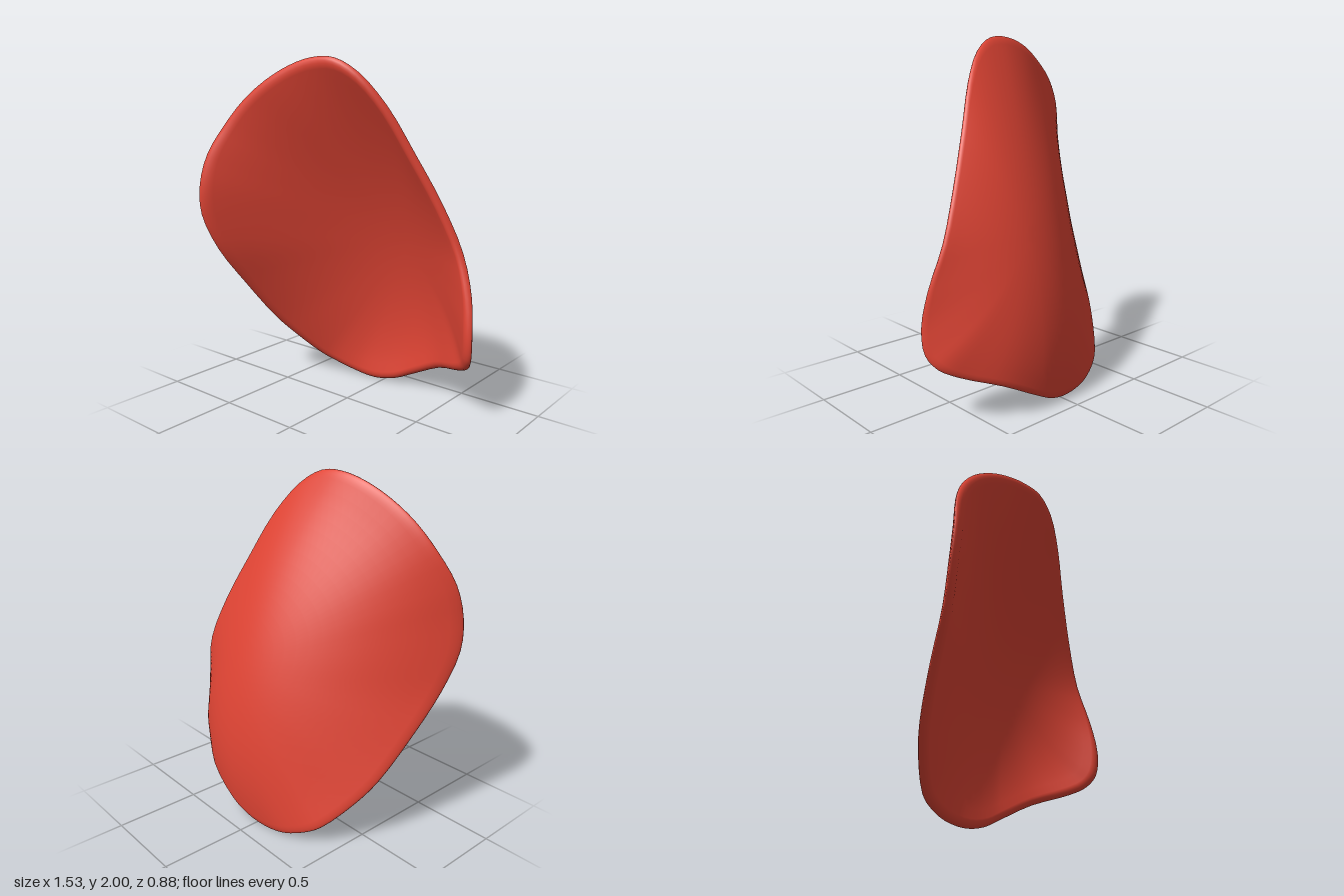
import * as THREE from 'three';
import { mergeVertices } from 'three/addons/utils/BufferGeometryUtils.js';

// Rim of the shell, counter-clockwise seen from the front
const rimPoints = [
  [-0.1, 2, 0.18], [-0.25, 1.96, 0.205], [-0.4, 1.88, 0.245], [-0.54, 1.77, 0.285], [-0.65, 1.63, 0.335],
  [-0.73, 1.46, 0.405], [-0.76, 1.28, 0.445], [-0.765, 1.1, 0.435], [-0.73, 0.88, 0.345], [-0.68, 0.64, 0.175],
  [-0.61, 0.4, -0.005], [-0.54, 0.27, -0.115], [-0.42, 0.12, -0.25], [-0.34, 0.07, -0.3], [-0.21, 0.02, -0.345],
  [-0.06, 0, -0.365], [0.08, 0.025, -0.385], [0.2, 0.08, -0.395], [0.42, 0.19, -0.36], [0.62, 0.26, -0.245],
  [0.71, 0.31, -0.185], [0.75, 0.38, -0.135], [0.76, 0.52, -0.12], [0.735, 0.72, -0.15], [0.66, 0.95, -0.18],
  [0.55, 1.22, -0.13], [0.42, 1.5, -0.04], [0.3, 1.75, 0.05], [0.17, 1.92, 0.125], [0.04, 1.995, 0.165],
].map((p) => new THREE.Vector3(...p));

const CENTER = new THREE.Vector2(0.2, 0.95);
const LEAN = 0.3; // backward lean of the bowl at its centre
const BACK = -0.015; // offsets of the two skins from the rim surface
const FRONT = 0.035;
const SEGMENTS = 90;
const EDGE = 0.95; // the rim rounding starts here

// Smooth bowl: leaning, curved strongly sideways and gently lengthways
function bowl(x, y) {
  const u = x - CENTER.x;
  const v = y - CENTER.y;
  return -0.315 + LEAN * v + 0.19 * v * v + 0.8 * u * u * (1 - 0.55 * v * v);
}

// Point on the ray from the centre (t = 0) to the rim (t = 1), flaring to meet the rim
function surfacePoint(rim, t) {
  const x = THREE.MathUtils.lerp(CENTER.x, rim.x, t);
  const y = THREE.MathUtils.lerp(CENTER.y, rim.y, t);
  const flare = rim.z - bowl(rim.x, rim.y);
  return new THREE.Vector3(x, y, bowl(x, y) + flare * t ** 4);
}

function createShell() {
  const curve = new THREE.CatmullRomCurve3(rimPoints, true, 'centripetal');
  const rims = Array.from({ length: SEGMENTS }, (_, j) => curve.getPoint(j / SEGMENTS));

  // Rows run out along the back, round the rim and return along the inside
  const steps = [];
  for (let i = 0; i <= 16; i++) steps.push((EDGE * i) / 16);
  for (let i = 1; i <= 6; i++) steps.push(EDGE + (1 - EDGE) * Math.sin((i * Math.PI) / 12));
  const skin = (side) => (t) => {
    const e = Math.max(0, (t - EDGE) / (1 - EDGE));
    return [t, side * Math.sqrt(1 - Math.min(1, e * e))];
  };
  const rows = [...steps.map(skin(BACK)), ...steps.slice(0, -1).reverse().map(skin(FRONT))];

  const positions = [];
  const index = [];
  for (const [t, offset] of rows) {
    for (let j = 0; j < SEGMENTS; j++) {
      const p = surfacePoint(rims[j], t);
      const normal = new THREE.Vector3(0, -LEAN, 1);
      if (t > 0) {
        const radial = surfacePoint(rims[j], t + 0.001).sub(p);
        const around = surfacePoint(rims[(j + 1) % SEGMENTS], t)
          .sub(surfacePoint(rims[(j + SEGMENTS - 1) % SEGMENTS], t));
        normal.crossVectors(radial, around);
      }
      p.addScaledVector(normal.normalize(), offset);
      positions.push(p.x, p.y, p.z);
    }
  }
  for (let i = 0; i < rows.length - 1; i++) {
    for (let j = 0; j < SEGMENTS; j++) {
      const a = i * SEGMENTS + j;
      const c = i * SEGMENTS + ((j + 1) % SEGMENTS);
      const b = a + SEGMENTS;
      const d = c + SEGMENTS;
      if (i > 0) index.push(a, c, b);
      if (i < rows.length - 2) index.push(c, d, b);
    }
  }

  let geometry = new THREE.BufferGeometry();
  geometry.setAttribute('position', new THREE.Float32BufferAttribute(positions, 3));
  geometry.setIndex(index);
  geometry = mergeVertices(geometry, 1e-5);
  geometry.computeVertexNormals();
  return geometry;
}

export function createModel() {
  const group = new THREE.Group();
  group.name = 'curvedShell';
  const material = new THREE.MeshStandardMaterial({ color: 0xe04434 });
  const shell = new THREE.Mesh(createShell(), material);
  shell.name = 'shell';
  group.add(shell);
  return group;
}
